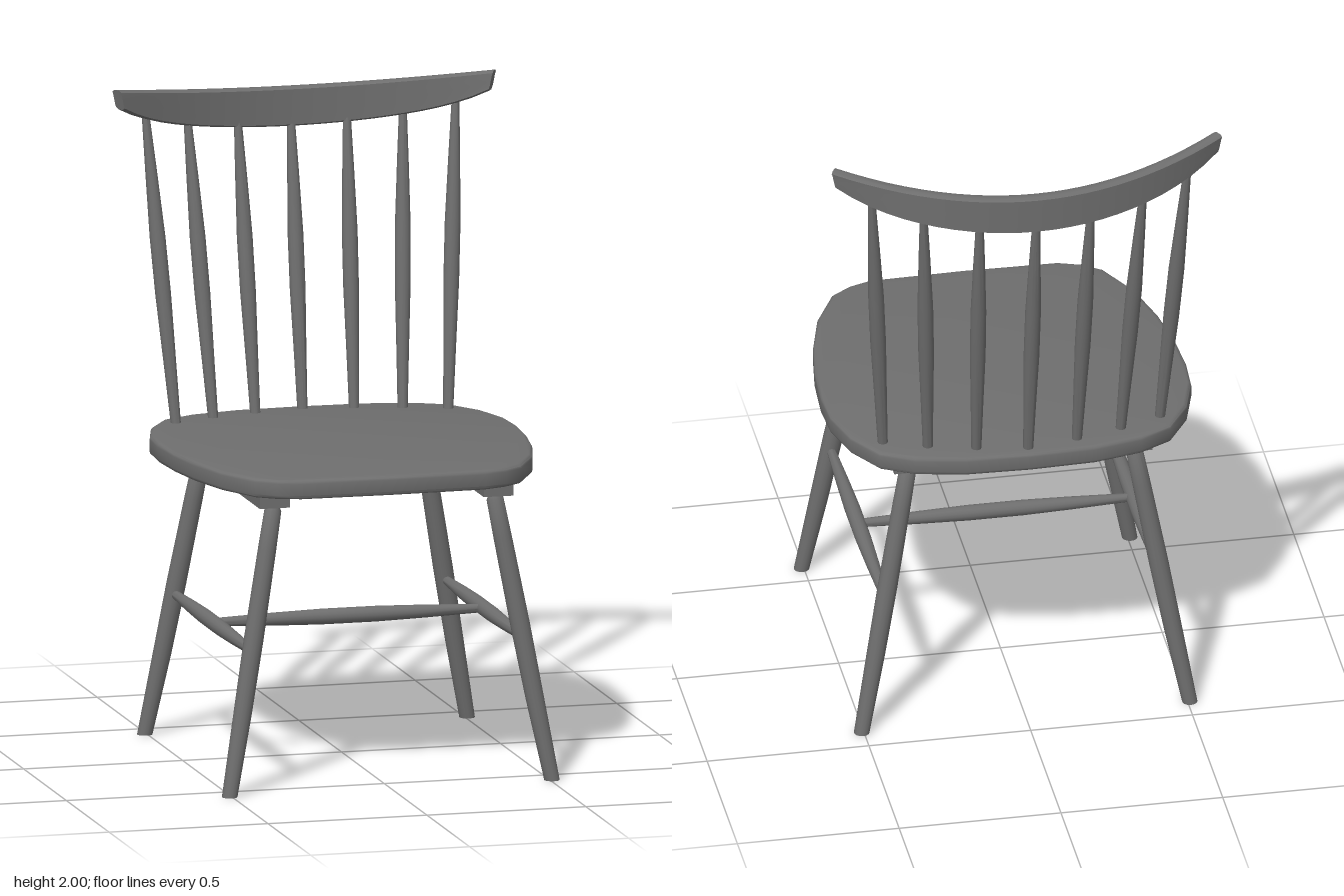
import * as THREE from 'three';
import { toCreasedNormals } from 'three/addons/utils/BufferGeometryUtils.js';

const wood = new THREE.MeshStandardMaterial({ color: 0x6e6e6e });
wood.name = 'grey wood';

const V = (x, y, z) => new THREE.Vector3(x, y, z);

// Turned rod between two points; profile is a list of [radius, fraction along the rod]
function rod(a, b, profile) {
  const dir = b.clone().sub(a);
  const len = dir.length();
  const pts = profile.map(([r, t]) => new THREE.Vector2(r, t * len));
  pts.unshift(new THREE.Vector2(0, pts[0].y));
  pts.push(new THREE.Vector2(0, pts[pts.length - 1].y));
  const geo = new THREE.LatheGeometry(pts, 14);
  geo.applyQuaternion(new THREE.Quaternion().setFromUnitVectors(V(0, 1, 0), dir.normalize()));
  geo.translate(a.x, a.y, a.z);
  return geo;
}

export function createModel() {
  const chair = new THREE.Group();
  chair.name = 'chair';
  const add = (name, geo, crease = 0.7) => {
    const mesh = new THREE.Mesh(toCreasedNormals(geo, crease), wood);
    mesh.name = name;
    chair.add(mesh);
  };

  // Seat: rounded outline, mirrored, with a soft edge
  const half = [[0.2, -0.493], [0.35, -0.462], [0.45, -0.41], [0.52, -0.3], [0.558, -0.17],
    [0.565, -0.05], [0.556, 0.1], [0.533, 0.25], [0.49, 0.41], [0.42, 0.545], [0.36, 0.588], [0.29, 0.612]];
  const outline = [[0, -0.5], ...half, [0, 0.618], ...half.map(([x, z]) => [-x, z]).reverse()];
  const seatShape = new THREE.Shape(outline.map(([x, z]) => new THREE.Vector2(x, -z)));
  const seat = new THREE.ExtrudeGeometry(seatShape, {
    depth: 0.036, bevelThickness: 0.012, bevelSize: 0.012, bevelOffset: -0.012, bevelSegments: 3,
  });
  seat.rotateX(-Math.PI / 2);
  seat.translate(0, 0.928, 0);
  add('seat', seat, 0.6);

  // Underframe: battens, splayed legs and side stretchers
  const legProfile = [[0.024, 0], [0.028, 0.3], [0.03, 0.55], [0.028, 0.85], [0.026, 0.985], [0.019, 1]];
  const stretcherProfile = [[0.013, 0], [0.02, 0.22], [0.024, 0.4], [0.024, 0.6], [0.02, 0.78], [0.013, 1]];
  for (const s of [-1, 1]) {
    const side = s > 0 ? 'left' : 'right';
    const batten = new THREE.BoxGeometry(0.094, 0.045, 0.91);
    batten.translate(s * 0.352, 0.9, 0.075);
    add(side + 'Batten', batten);

    for (const [end, topZ, footZ] of [['Front', 0.495, 0.577], ['Back', -0.335, -0.417]]) {
      const leg = rod(V(s * 0.507, -0.012, footZ), V(s * 0.347, 0.878, topZ), legProfile);
      // Trim the foot level with the floor
      const p = leg.attributes.position;
      for (let i = 0; i < p.count; i++) p.setY(i, Math.max(0, p.getY(i)));
      add(side + end + 'Leg', leg);
    }
    add(side + 'Stretcher', rod(V(s * 0.426, 0.44, 0.53), V(s * 0.426, 0.44, -0.37), stretcherProfile));
  }
  add('crossStretcher', rod(V(-0.42, 0.44, 0.08), V(0.42, 0.44, 0.08), stretcherProfile));

  // Fanned back spindles
  const spindleProfile = [[0.015, 0], [0.019, 0.2], [0.024, 0.42], [0.024, 0.6], [0.018, 0.8], [0.011, 1]];
  const spindles = [[0, -0.455, 0, -0.595, 1.87], [0.155, -0.428, 0.172, -0.58, 1.88],
    [0.297, -0.39, 0.34, -0.547, 1.9], [0.427, -0.342, 0.489, -0.483, 1.93]];
  for (const [x0, z0, x1, z1, y1] of spindles) {
    for (const s of x0 ? [-1, 1] : [1]) {
      add('backSpindle', rod(V(s * x0, 0.95, z0), V(s * x1, y1, z1), spindleProfile));
    }
  }

  // Crest rail: a bar bent back in plan, upswept and narrowed toward its ends
  const rail = new THREE.BoxGeometry(2, 1, 1, 24, 4, 4);
  const p = rail.attributes.position;
  for (let i = 0; i < p.count; i++) {
    const u = p.getX(i), v = p.getY(i), w = p.getZ(i);
    const q = u * u;
    const top = 1.947 + 0.053 * q;
    const bottom = 1.826 + 0.085 * q + 0.028 * q * q * q;
    // Ease the long edges
    const y = THREE.MathUtils.lerp(bottom, top, v + 0.5) - (Math.abs(w) > 0.4 ? Math.sign(v) * (Math.abs(v) > 0.4 ? 0.006 : 0) : 0);
    const thick = 0.043 - 0.006 * q;
    const slope = 0.6 * u;
    const n = Math.hypot(1, slope);
    const x = 0.594 * u - (slope / n) * w * thick - 0.012 * u * q * (0.5 - v);
    const z = -0.599 + 0.177 * q + (w * thick) / n;
    p.setXYZ(i, x, y, z);
  }
  add('crestRail', rail, 0.6);

  return chair;
}
